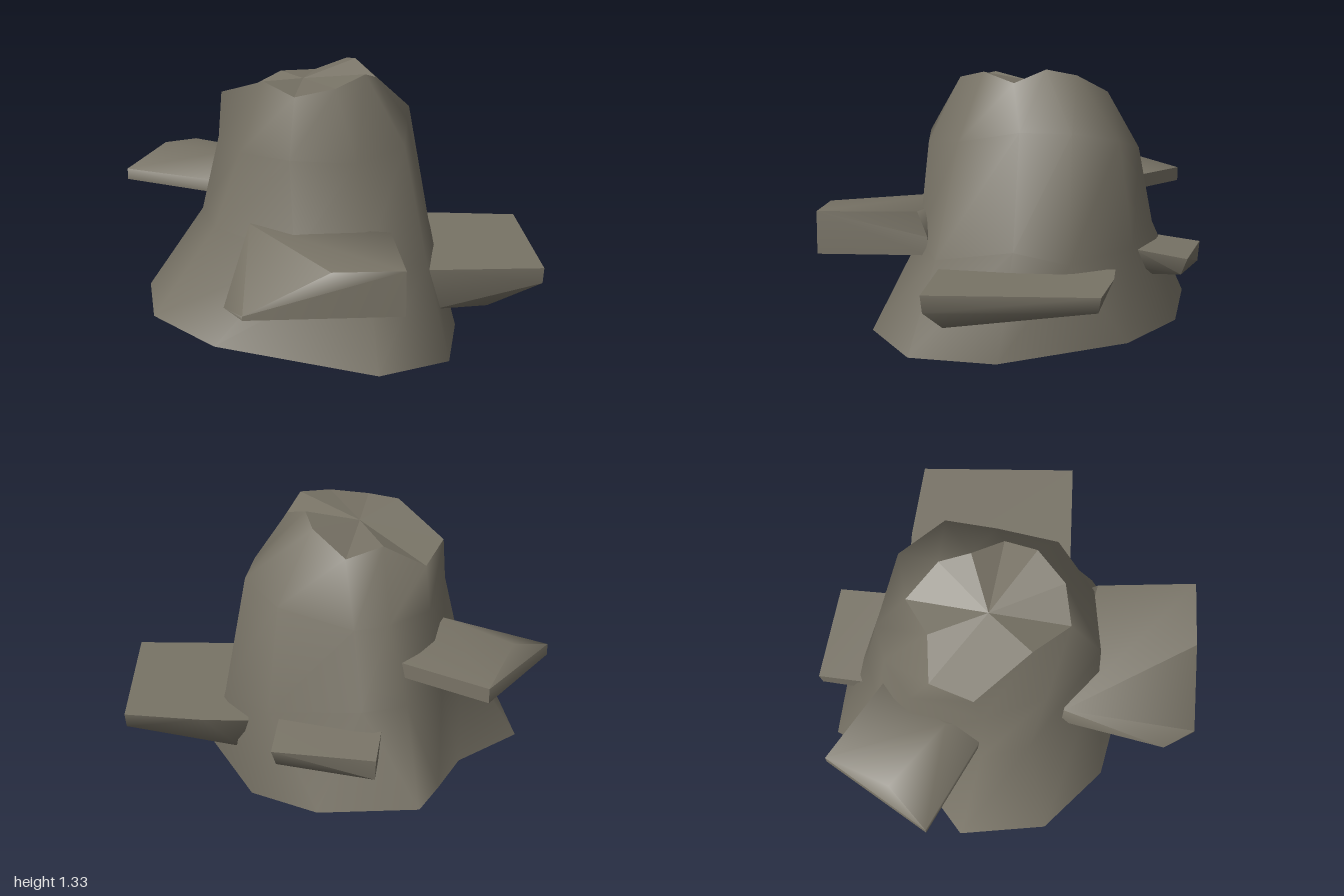
import * as THREE from 'three';
import { toCreasedNormals } from 'three/addons/utils/BufferGeometryUtils.js';
import { ConvexGeometry } from 'three/addons/geometries/ConvexGeometry.js';

// Rings of the stump from the flared base to the broken rim, all running
// from the -x side past the front (+z), +x and the back
const rings = [
  [[-.985, .165, -.08], [-.81, .125, .29], [-.17, .04, .73], [.24, 0, .64], [.47, 0, .27], [.46, .05, -.38],
    [.25, .09, -.71], [-.17, .14, -.92], [-.33, .145, -.78], [-.52, .15, -.6], [-.88, .165, -.49]],
  [[-.67, .58, -.06], [-.44, .55, .385], [-.12, .5, .50], [.19, .45, .49], [.37, .5, .16], [.49, .45, -.08],
    [.39, .5, -.43], [.02, .55, -.67], [-.2, .55, -.68], [-.43, .55, -.57], [-.65, .6, -.30]],
  [[-.575, .97, .05], [-.45, 1, .36], [-.15, .97, .44], [.13, 1, .36], [.27, 1.05, .1], [.39, 1.05, -.12],
    [.32, 1, -.38], [.03, .93, -.59], [-.14, .93, -.6], [-.36, .95, -.55], [-.57, .97, -.26]],
  [[-.44, 1.29, .02], [-.37, 1.255, .23], [-.18, 1.285, .27], [0, 1.32, .2], [.11, 1.27, .08], [.08, 1.33, -.09],
    [.1, 1.3, -.24], [.01, 1.21, -.43], [-.19, 1.23, -.39], [-.38, 1.13, -.45], [-.54, 1.18, -.29]],
];

function indexed(points, index) {
  const geometry = new THREE.BufferGeometry();
  geometry.setAttribute('position', new THREE.Float32BufferAttribute(points.flat(), 3));
  geometry.setIndex(index);
  return geometry;
}

// Smooth skin between the rings
function skin(loops) {
  const n = loops[0].length;
  const index = [];
  for (let r = 0; r < loops.length - 1; r++) {
    for (let i = 0; i < n; i++) {
      const a = r * n + i, b = r * n + (i + 1) % n;
      index.push(a, b, b + n, a, b + n, a + n);
    }
  }
  const geometry = indexed(loops.flat(), index);
  geometry.computeVertexNormals();
  return geometry;
}

// Faceted fan from a ring to a middle point
function fan(ring, middle) {
  const n = ring.length;
  const index = ring.flatMap((_, i) => [n, i, (i + 1) % n]);
  const geometry = indexed([...ring, middle], index).toNonIndexed();
  geometry.computeVertexNormals();
  return geometry;
}

// Tapered slabs growing out of the sides, each given by its corners
const ledges = {
  frontLedge: [
    [-.83, .44, .75], [-.17, .44, .995], [.02, .44, .49], [-.58, .5, .14], [-.855, .44, .58], [-.3, .44, .3],
    [-.83, .46, .75], [-.17, .65, .995], [-.47, .65, .88], [-.02, .65, .53], [.02, .53, .49], [-.57, .65, .15],
  ],
  leftLedge: [
    [.985, .41, -.06], [.72, .41, .68], [.21, .41, .48], [.45, .41, -.32], [.65, .41, -.24],
    [.975, .34, -.05], [.72, .33, .67], [.255, .2, .47], [.5, .2, .53], [.46, .21, -.2],
  ],
  backRightLedge: [
    [-.925, .68, -.66], [-.45, .68, -1], [-.18, .68, -.62], [-.55, .68, -.22],
    [-.925, .735, -.66], [-.45, .75, -1], [-.18, .75, -.62], [-.55, .745, -.22], [-.69, .82, -.76], [-.5, .835, -.42],
  ],
  backLeftLedge: [
    [.05, .44, -.92], [.46, .44, -.68], [.34, .48, -.45], [-.07, .47, -.7],
    [.05, .34, -.91], [.43, .36, -.66], [.32, .39, -.46], [.28, .34, -.55], [-.06, .34, -.7],
  ],
};

export function createModel() {
  const rock = new THREE.MeshStandardMaterial({ color: 0x787366 });
  rock.name = 'stone grey';
  const model = new THREE.Group();
  model.name = 'rockStump';

  const add = (name, geometry) => {
    const mesh = new THREE.Mesh(geometry, rock);
    mesh.name = name;
    model.add(mesh);
  };

  // Main body with its dented top and flat underside
  add('body', skin(rings));
  add('brokenTop', fan(rings.at(-1), [-.19, 1.255, -.1]));
  add('underside', fan([...rings[0]].reverse(), [-.2, .08, -.1]));

  // Ledges
  for (const [name, corners] of Object.entries(ledges)) {
    const points = corners.map((c) => new THREE.Vector3(...c));
    add(name, toCreasedNormals(new ConvexGeometry(points), 1.3));
  }
  return model;
}
